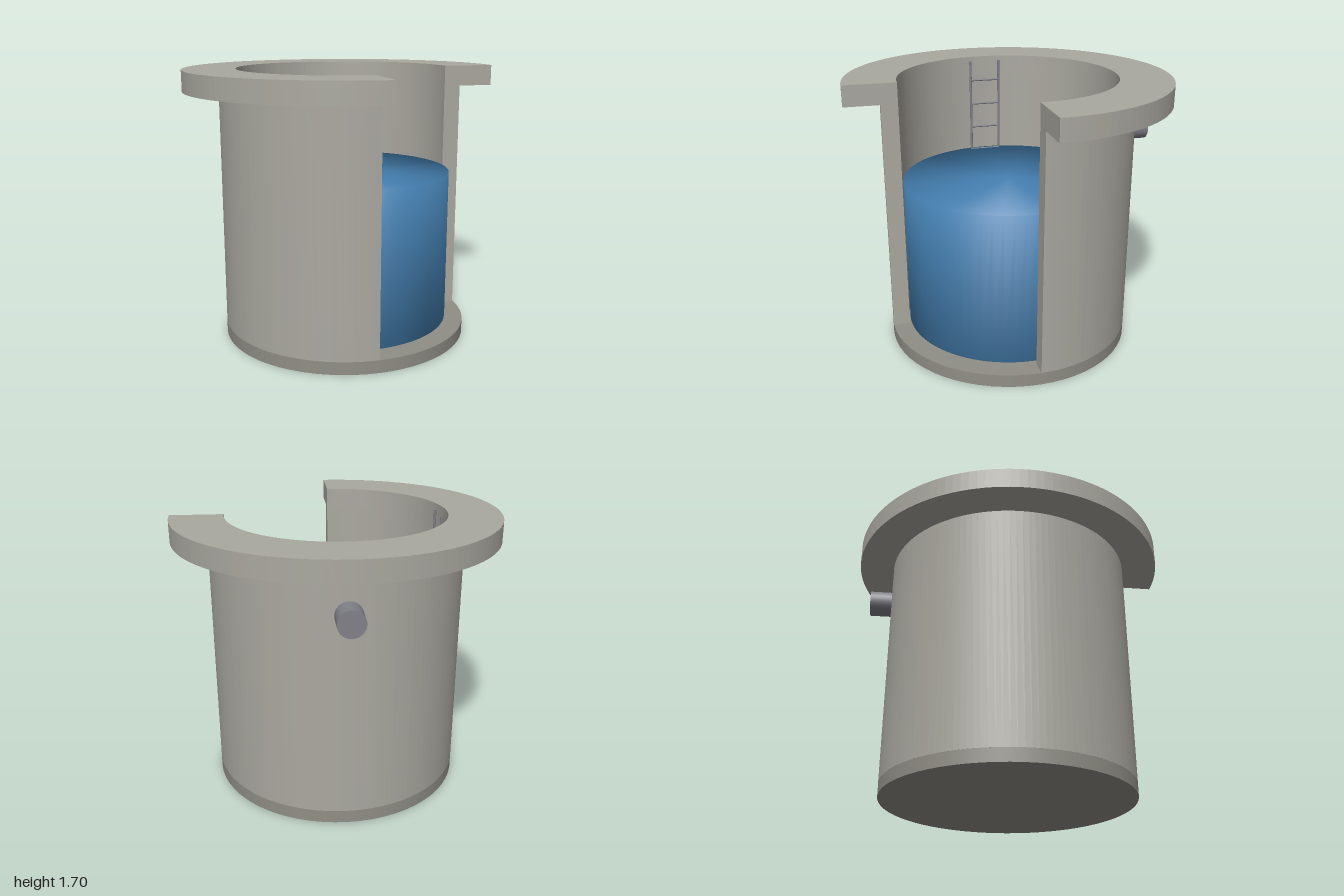
import * as THREE from 'three';
import { mergeVertices } from 'three/addons/utils/BufferGeometryUtils.js';

const concrete = new THREE.MeshStandardMaterial({ color: 0xaaa8a0 });
const slabConcrete = new THREE.MeshStandardMaterial({ color: 0x908e86 });
const steel = new THREE.MeshStandardMaterial({ color: 0x808088 });
const waterBlue = new THREE.MeshStandardMaterial({ color: 0x4682b4 });

const INNER = 0.675, OUTER = 0.78, COLLAR = 1;
const SLAB_TOP = 0.08, COLLAR_BOTTOM = 1.57, TOP = 1.7;

function add(parent, name, geometry, material, x = 0, y = 0, z = 0) {
  const mesh = new THREE.Mesh(geometry, material);
  mesh.name = name;
  mesh.position.set(x, y, z);
  parent.add(mesh);
  return mesh;
}

// Three-quarter ring standing between two heights, open in the +x +z quadrant
function cutRing(inner, outer, bottom, top) {
  const shape = new THREE.Shape();
  shape.absarc(0, 0, outer, 0, Math.PI * 1.5, false);
  shape.absarc(0, 0, inner, Math.PI * 1.5, 0, true);
  shape.closePath();
  return new THREE.ExtrudeGeometry(shape, { depth: top - bottom, bevelEnabled: false, curveSegments: 48 })
    .rotateX(-Math.PI / 2)
    .translate(0, bottom, 0);
}

// Cylinder whose shading rolls softly over its rims
function softCylinder(radius, height) {
  const g = new THREE.CylinderGeometry(radius, radius, height, 64);
  g.deleteAttribute('normal');
  g.deleteAttribute('uv');
  const merged = mergeVertices(g);
  merged.computeVertexNormals();
  return merged;
}

export function createModel() {
  const model = new THREE.Group();
  model.name = 'cutawayWell';

  // Concrete shell
  add(model, 'baseSlab', new THREE.CylinderGeometry(OUTER, OUTER, SLAB_TOP, 64), slabConcrete, 0, SLAB_TOP / 2, 0);
  add(model, 'wall', cutRing(INNER, OUTER, SLAB_TOP, COLLAR_BOTTOM), concrete);
  add(model, 'collar', cutRing(INNER, COLLAR, COLLAR_BOTTOM, TOP), concrete);

  // Water body
  const waterBottom = 0.095, waterTop = 1.055;
  add(model, 'water', softCylinder(0.665, waterTop - waterBottom), waterBlue, 0, (waterBottom + waterTop) / 2, 0);

  // Inlet pipe through the back wall
  const pipe = new THREE.CylinderGeometry(0.08, 0.08, 0.37, 32).rotateX(Math.PI / 2);
  add(model, 'inletPipe', pipe, steel, 0, 1.325, -0.73);

  // Ladder on the -x side, reaching down into the water
  const ladder = new THREE.Group();
  ladder.name = 'ladder';
  ladder.position.x = -0.633;
  model.add(ladder);
  const railBottom = 0.11, railTop = 1.675, railZ = 0.098;
  const rail = new THREE.CylinderGeometry(0.008, 0.008, railTop - railBottom, 8);
  for (const side of [-1, 1]) add(ladder, 'ladderRail', rail, steel, 0, (railBottom + railTop) / 2, side * railZ);
  const rung = new THREE.CylinderGeometry(0.007, 0.007, railZ * 2, 8).rotateX(Math.PI / 2);
  for (let i = 0; i < 9; i++) add(ladder, 'ladderRung', rung, steel, 0, 1.545 - i * 0.164, 0);

  return model;
}
